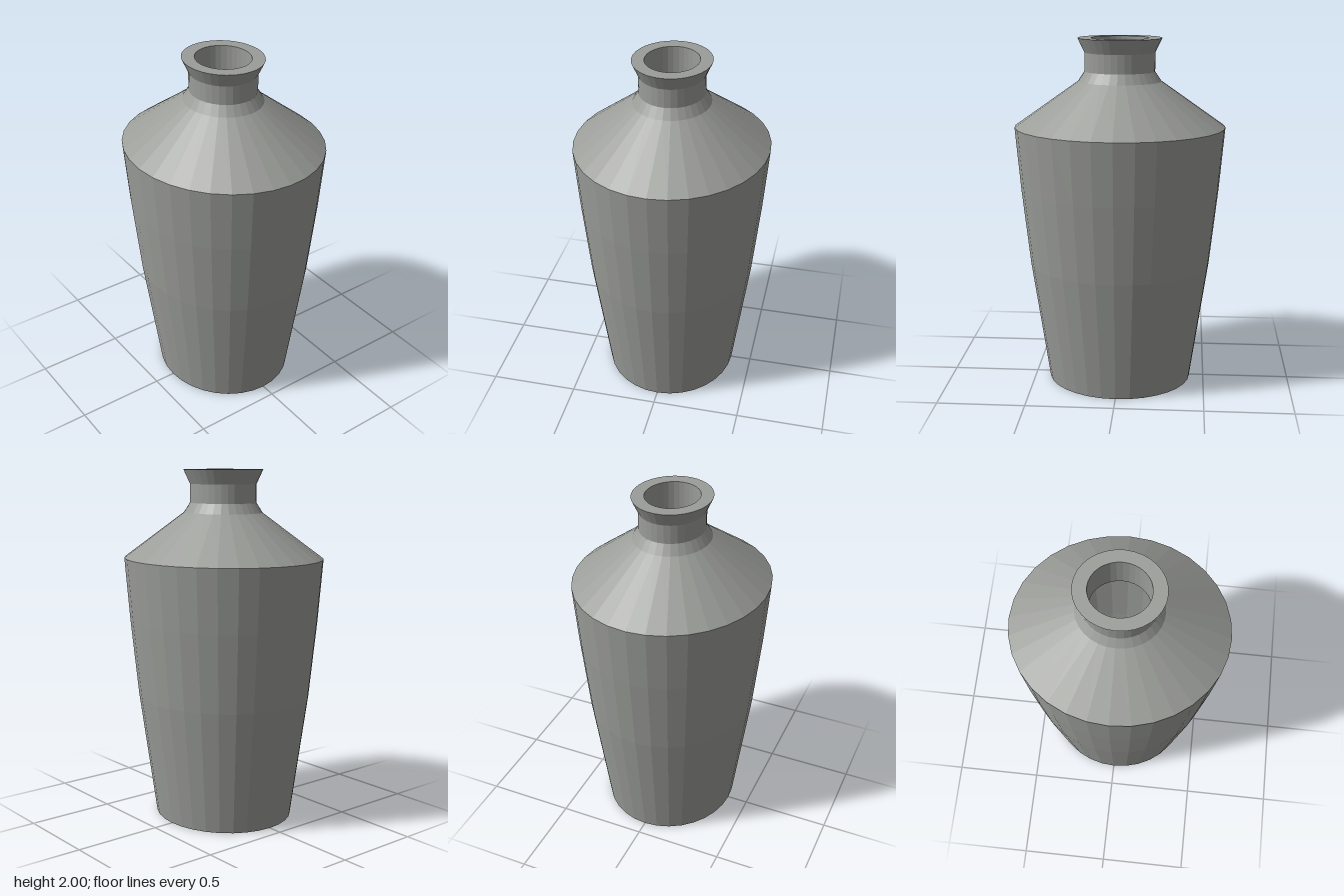
import * as THREE from 'three';

const SIDES = 32;
const DEPTH = 0.913; // the vase is slightly oval, narrower front to back

export function createModel() {
  const vase = new THREE.Group();
  vase.name = 'vase';

  const stone = new THREE.MeshStandardMaterial({ color: 0x9b9d99 });
  stone.name = 'stone grey';

  // Faceted oval ring turned from a [radius, height] profile
  function turned(name, profile) {
    const points = profile.map(([r, y]) => new THREE.Vector2(r, y));
    const geometry = new THREE.LatheGeometry(points, SIDES).scale(1, 1, DEPTH).toNonIndexed();
    geometry.computeVertexNormals();
    const mesh = new THREE.Mesh(geometry, stone);
    mesh.name = name;
    vase.add(mesh);
  }

  // Flat underside
  turned('base', [[0, 0], [0.417, 0]]);
  // Tapered wall with a gentle bulge
  turned('body', [[0.417, 0], [0.52, 0.71], [0.567, 1.15], [0.597, 1.505]]);
  // Sloping shoulder up to the neck
  turned('shoulder', [[0.597, 1.505], [0.235, 1.76], [0.198, 1.815]]);
  // Straight neck with a flared lip
  turned('neck', [[0.198, 1.815], [0.198, 1.92], [0.237, 2]]);
  // Flat top of the lip
  turned('rim', [[0.237, 2], [0.162, 2]]);
  // Hollow inside, following the outer wall
  turned('interior', [
    [0.162, 2], [0.162, 1.78], [0.53, 1.48], [0.5, 1.15], [0.455, 0.71], [0.36, 0.06], [0, 0.06],
  ]);

  return vase;
}
